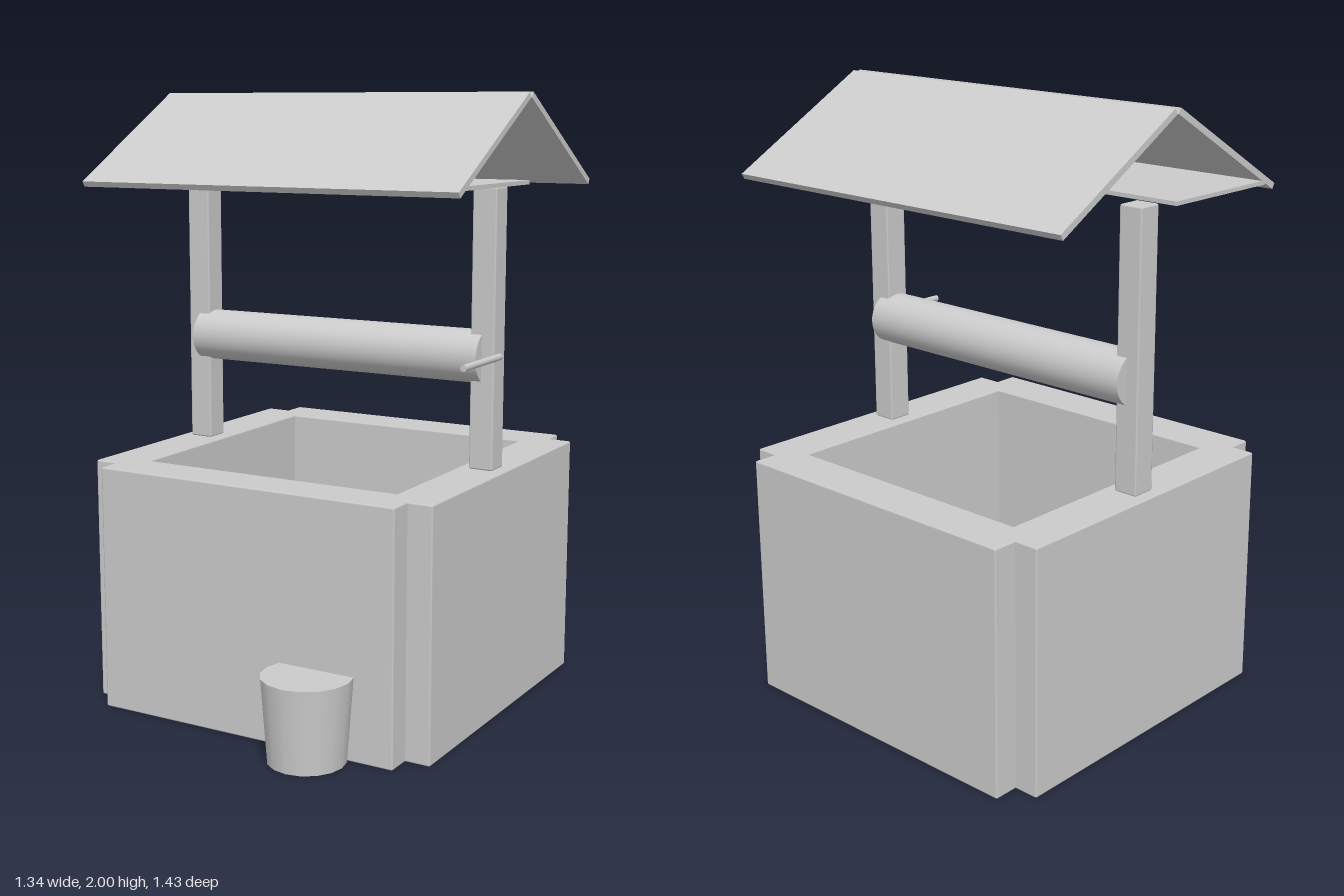
import * as THREE from 'three';
import { RoundedBoxGeometry } from 'three/addons/geometries/RoundedBoxGeometry.js';

export function createModel() {
  const model = new THREE.Group();
  model.name = 'well';
  const material = new THREE.MeshStandardMaterial({ color: 0xcccccc });
  const midZ = -0.098; // the well sits slightly back, leaving room for the bucket

  const add = (name, geometry, x, y, z) => {
    const mesh = new THREE.Mesh(geometry, material);
    mesh.name = name;
    mesh.position.set(x, y, z);
    model.add(mesh);
    return mesh;
  };
  const bevelBox = (w, h, d) => new RoundedBoxGeometry(w, h, d, 1, 0.006);

  // Four thick walls, overlapping by half their thickness at the notched corners
  const thick = 0.16, length = 1.07, height = 0.81, offset = 0.538;
  for (const s of [-1, 1]) {
    add(s > 0 ? 'frontWall' : 'backWall', bevelBox(length, height, thick), 0, height / 2, midZ + s * offset);
    add(s > 0 ? 'leftWall' : 'rightWall', bevelBox(thick, height, length), s * offset, height / 2, midZ);
  }

  // Posts standing on the side walls
  for (const s of [-1, 1]) {
    add(s > 0 ? 'leftPost' : 'rightPost', bevelBox(0.083, 0.9, 0.083), s * 0.54, 1.26, midZ);
  }

  // Winding drum between the posts, and its crank
  add('drum', new THREE.CylinderGeometry(0.086, 0.086, 1.076, 32), 0, 1.172, midZ).rotation.z = Math.PI / 2;
  add('crank', new THREE.CylinderGeometry(0.011, 0.011, 0.267, 12), 0.583, 1.175, 0.037).rotation.x = Math.PI / 2;

  // Two roof slopes at 30 degrees
  for (const s of [-1, 1]) {
    const slope = add(s > 0 ? 'frontRoof' : 'backRoof', new THREE.BoxGeometry(1.344, 0.02, 0.566),
      0, 1.85, midZ + s * 0.253);
    slope.rotation.x = s * Math.PI / 6;
  }

  // Flat board under the front slope
  add('ceilingBoard', new THREE.BoxGeometry(1.344, 0.013, 0.447), 0, 1.726, 0.129);

  // Tapered bucket against the front wall
  add('bucket', new THREE.CylinderGeometry(0.143, 0.123, 0.27, 16), 0.27, 0.135, 0.575);

  return model;
}
